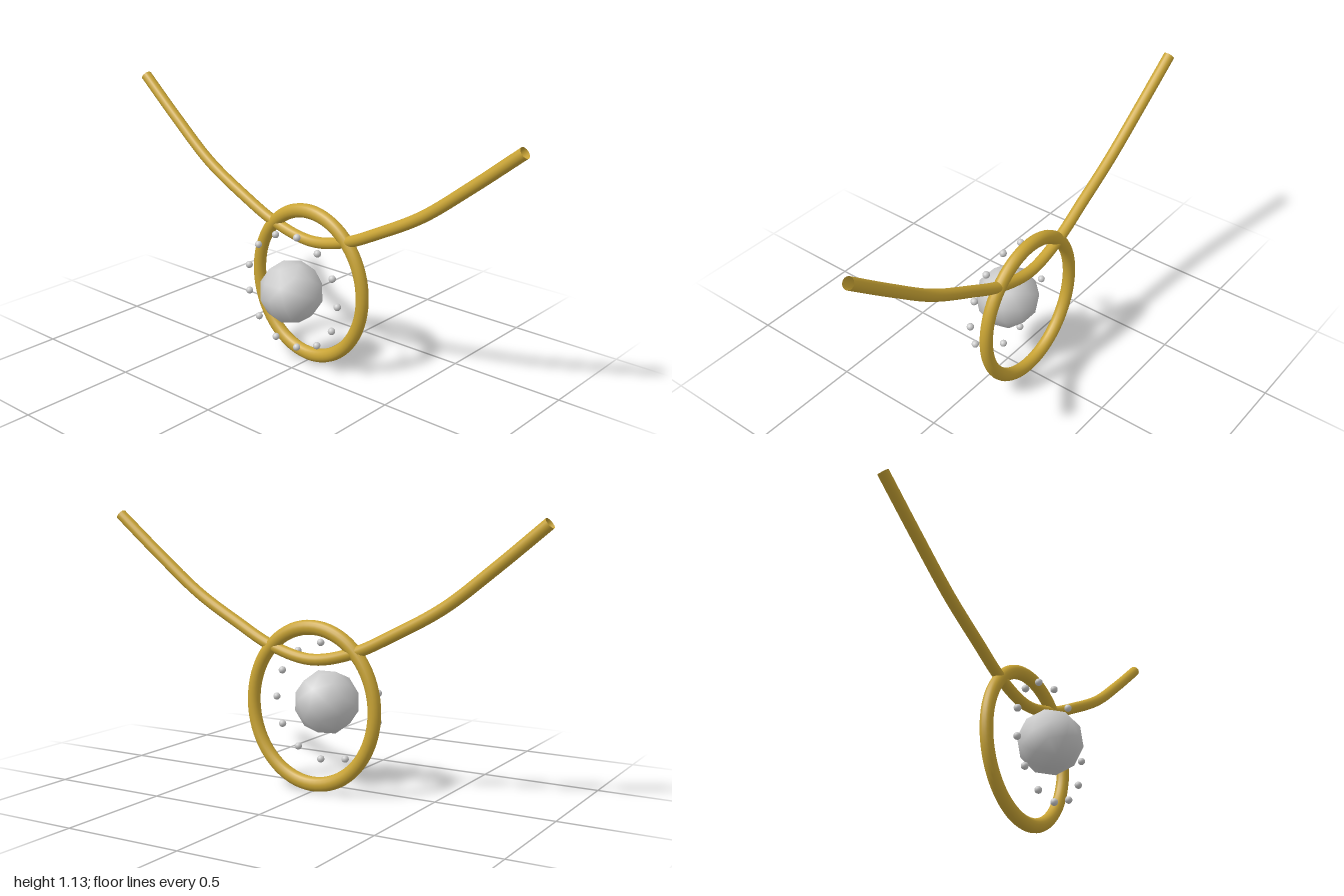
import * as THREE from 'three';

export function createModel() {
  const model = new THREE.Group();
  const gold = new THREE.MeshStandardMaterial({ color: 0xc9a434, side: THREE.DoubleSide });
  const grey = new THREE.MeshStandardMaterial({ color: 0xcccccc });

  const add = (name, geometry, material, x, y, z) => {
    const mesh = new THREE.Mesh(geometry, material);
    mesh.name = name;
    mesh.position.set(x, y, z);
    model.add(mesh);
    return mesh;
  };

  const centreY = 0.357;

  // Slightly tall oval ring
  const ring = add('pendantRing', new THREE.TorusGeometry(0.286, 0.027, 16, 72), gold, 0, centreY, -0.112);
  ring.scale.y = 1.13;

  // Open-ended neck strand, mirrored about the centre
  const half = [
    [0.985, 1.115, -0.113], [0.78, 0.947, -0.106], [0.575, 0.79, -0.101],
    [0.375, 0.678, -0.104], [0.19, 0.59, -0.112],
  ];
  const points = [
    ...half.map(([x, y, z]) => new THREE.Vector3(-x, y, z)),
    new THREE.Vector3(0, 0.55, -0.117),
    ...half.map(([x, y, z]) => new THREE.Vector3(x, y, z)).reverse(),
  ];
  const strand = new THREE.CatmullRomCurve3(points);
  add('neckStrand', new THREE.TubeGeometry(strand, 80, 0.024, 16, false), gold, 0, 0, 0);

  // Faceted-outline gem with one corner pointing forward
  const gem = new THREE.IcosahedronGeometry(0.136, 1);
  gem.rotateX(Math.atan(2 / (1 + Math.sqrt(5))));
  add('centreGem', gem, grey, 0, centreY, 0.002);

  // Circle of small beads around the gem
  const beads = 13;
  const beadGeometry = new THREE.IcosahedronGeometry(0.0155, 2);
  for (let i = 0; i < beads; i++) {
    const a = (i / beads) * Math.PI * 2;
    add('bead' + (i + 1), beadGeometry, grey, 0.248 * Math.cos(a), centreY + 0.248 * Math.sin(a), 0.002);
  }

  return model;
}
